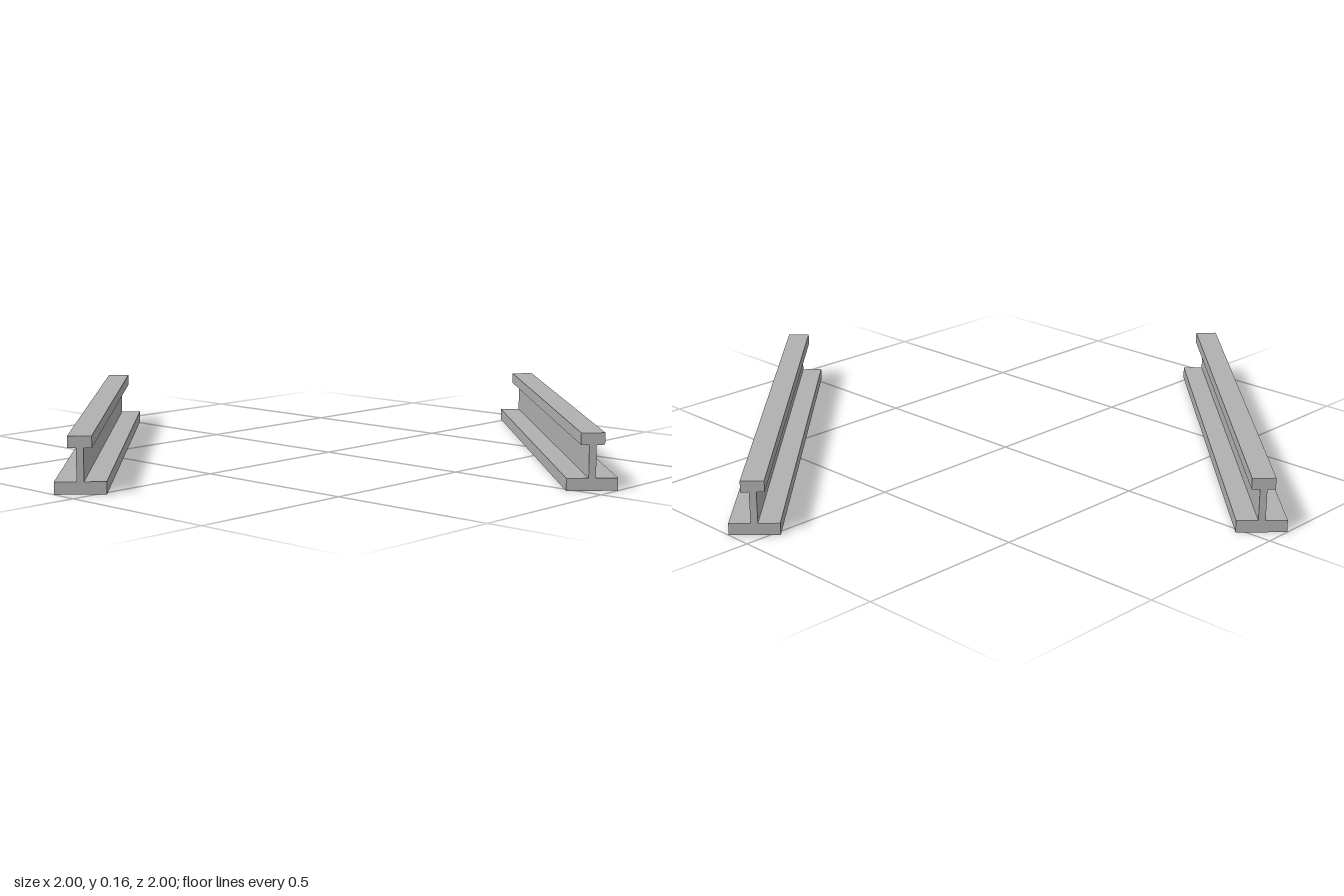
import * as THREE from 'three';

const LENGTH = 1.3;
// Half of the rail cross-section (half width, height), from foot to head
const HALF_PROFILE = [
  [0.071, 0], [0.071, 0.035], [0.01, 0.035],
  [0.01, 0.127], [0.033, 0.127], [0.033, 0.16],
];

export function createModel() {
  const model = new THREE.Group();
  model.name = 'railPair';

  const steel = new THREE.MeshStandardMaterial({ color: 0xb0b0b0 });
  steel.name = 'grey steel';

  // Mirror the half section into a full I-shaped outline
  const left = HALF_PROFILE.map(([x, y]) => [-x, y]).reverse();
  const outline = [...HALF_PROFILE, ...left].map(([x, y]) => new THREE.Vector2(x, y));
  const geometry = new THREE.ExtrudeGeometry(new THREE.Shape(outline), {
    depth: LENGTH, bevelEnabled: false,
  });
  geometry.translate(0, 0, -LENGTH / 2);

  // Two parallel rails laid diagonally
  for (const [name, side] of [['leftRail', 1], ['rightRail', -1]]) {
    const rail = new THREE.Mesh(geometry, steel);
    rail.name = name;
    rail.position.set(side * 0.49, 0, -side * 0.49);
    rail.rotation.y = Math.PI / 4;
    model.add(rail);
  }
  return model;
}
